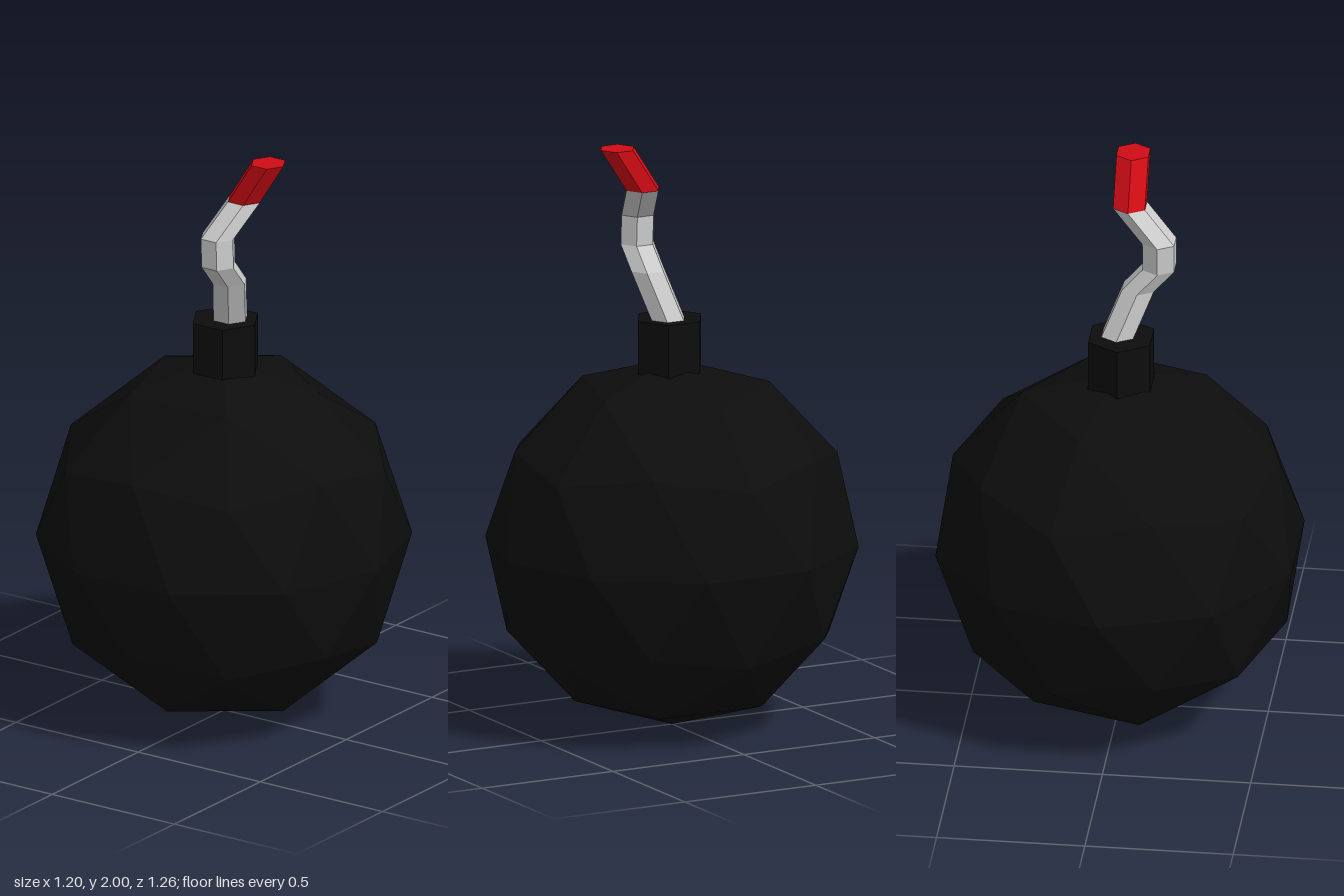
import * as THREE from 'three';

const material = (color) => new THREE.MeshStandardMaterial({ color, flatShading: true });

// Hexagonal tube whose horizontal rings follow the given [x, y, z] centres, bottom to top
function hexTube(centres, radius) {
  const n = centres.length - 1;
  const geometry = new THREE.CylinderGeometry(radius, radius, n, 6, n);
  const pos = geometry.attributes.position;
  for (let i = 0; i < pos.count; i++) {
    const [x, y, z] = centres[Math.round(pos.getY(i) + n / 2)];
    pos.setXYZ(i, pos.getX(i) + x, y, pos.getZ(i) + z);
  }
  geometry.computeVertexNormals();
  return geometry;
}

export function createModel() {
  const group = new THREE.Group();
  const add = (name, geometry, mat) => {
    const mesh = new THREE.Mesh(geometry, mat);
    mesh.name = name;
    group.add(mesh);
  };
  const black = material(0x0d0d0d);

  // Faceted ball, tipped so a corner points straight up
  const ball = new THREE.IcosahedronGeometry(0.63, 1);
  ball.rotateZ(-Math.atan(2 / (1 + Math.sqrt(5))));
  ball.translate(0, 0.63, 0);
  add('ball', ball, black);

  // Hexagonal collar sunk into the top of the ball
  const neck = new THREE.CylinderGeometry(0.12, 0.12, 0.22, 6);
  neck.translate(-0.003, 1.29, 0.008);
  add('neck', neck, black);

  // Crooked fuse and its burning tip
  const tipBase = [-0.022, 1.85, 0.1];
  add('fuse', hexTube([
    [0.008, 1.4, 0.02],
    [-0.056, 1.56, 0.062],
    [-0.125, 1.64, 0.065],
    [-0.125, 1.74, 0.062],
    tipBase,
  ], 0.062), material(0xcccccc));
  add('fuseTip', hexTube([tipBase, [-0.022, 2, 0.197]], 0.062), material(0xd00c14));

  return group;
}
